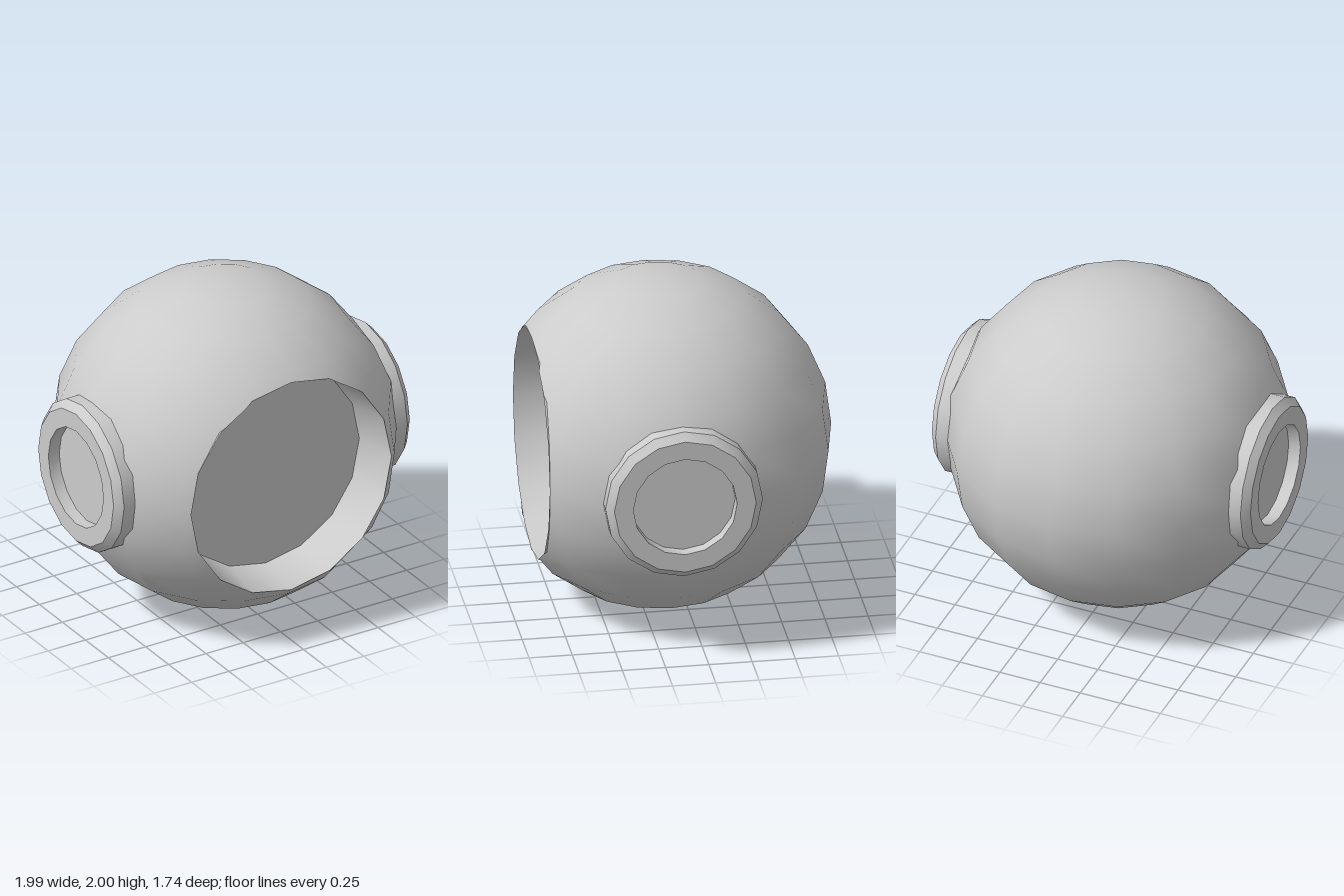
import * as THREE from 'three';
import { toCreasedNormals } from 'three/addons/utils/BufferGeometryUtils.js';

const SIDES = 16;
const CAP_FLOOR = 0.92; // recess floor of the side caps, measured from the ball centre
const FRONT = { rim: 0.672, floor: 0.63, zRim: 0.732, zFloor: 0.45 };

const material = new THREE.MeshStandardMaterial({ color: 0xcccccc, side: THREE.DoubleSide });

// Split a convex polygon by a plane into [part in front, part behind].
function split(poly, plane) {
  const front = [], back = [];
  poly.forEach((a, i) => {
    const b = poly[(i + 1) % poly.length];
    const da = plane.distanceToPoint(a), db = plane.distanceToPoint(b);
    if (da >= 0) front.push(a);
    if (da <= 0) back.push(a);
    if (da * db < 0) {
      const p = a.clone().lerp(b, da / (da - db));
      front.push(p);
      back.push(p);
    }
  });
  return [front, back];
}

// Side planes of the tapered front opening, facing away from its axis.
function openingPlanes() {
  const point = (r, i, z) => {
    const t = (i / SIDES) * Math.PI * 2;
    return new THREE.Vector3(r * Math.cos(t), r * Math.sin(t), z);
  };
  return Array.from({ length: SIDES }, (_, i) => {
    const plane = new THREE.Plane().setFromCoplanarPoints(
      point(FRONT.rim, i, FRONT.zRim), point(FRONT.floor, i, FRONT.zFloor), point(FRONT.floor, i + 1, FRONT.zFloor));
    return plane.distanceToPoint(new THREE.Vector3(0, 0, FRONT.zRim)) > 0 ? plane.negate() : plane;
  });
}

// Smooth ball with the front opening and the areas under the side caps cut away.
function ballGeometry() {
  const source = new THREE.SphereGeometry(1, SIDES, 12).toNonIndexed().getAttribute('position');
  const capPlanes = [1, -1].map((s) => new THREE.Plane(new THREE.Vector3(-s, 0, 0), CAP_FLOOR));
  const opening = openingPlanes();
  const positions = [], normals = [];

  const emit = (poly) => {
    for (let i = 1; i < poly.length - 1; i++) {
      for (const p of [poly[0], poly[i], poly[i + 1]]) {
        positions.push(p.x, p.y, p.z);
        normals.push(...p.clone().normalize().toArray());
      }
    }
  };

  for (let i = 0; i < source.count; i += 3) {
    let poly = [0, 1, 2].map((k) => new THREE.Vector3().fromBufferAttribute(source, i + k));
    for (const plane of capPlanes) poly = split(poly, plane)[0];
    if (poly.length < 3) continue;
    if (poly.every((p) => p.z < 0.4)) {
      emit(poly);
      continue;
    }
    // Keep each piece outside the opening, pass the rest on to the next plane.
    for (const plane of opening) {
      const [outside, inside] = split(poly, plane);
      if (outside.length > 2) emit(outside);
      poly = inside;
      if (poly.length < 3) break;
    }
  }
  const geometry = new THREE.BufferGeometry();
  geometry.setAttribute('position', new THREE.Float32BufferAttribute(positions, 3));
  geometry.setAttribute('normal', new THREE.Float32BufferAttribute(normals, 3));
  return geometry;
}

// Turned part with sharp profile corners and smooth sides.
function turned(profile) {
  const points = profile.map(([r, h]) => new THREE.Vector2(r, h));
  return toCreasedNormals(new THREE.LatheGeometry(points, SIDES), 0.6);
}

export function createModel() {
  const model = new THREE.Group();
  model.name = 'hollowBall';
  const add = (name, geometry) => {
    const mesh = new THREE.Mesh(geometry, material);
    mesh.name = name;
    mesh.position.set(0, 1, 0.135);
    model.add(mesh);
  };

  add('ballShell', ballGeometry());

  // Tapered recess with a flat floor in the front opening
  add('frontRecess', turned([
    [FRONT.rim, FRONT.zRim], [FRONT.floor, FRONT.zFloor], [0, FRONT.zFloor],
  ]).rotateX(Math.PI / 2));

  // Bevelled, recessed round caps on both sides
  for (const [name, s] of [['leftCap', 1], ['rightCap', -1]]) {
    add(name, turned([
      [0.455, 0.8], [0.455, 0.95], [0.41, 0.993], [0.3, 0.993], [0.3, CAP_FLOOR], [0, CAP_FLOOR],
    ]).rotateZ(-s * Math.PI / 2));
  }
  return model;
}
